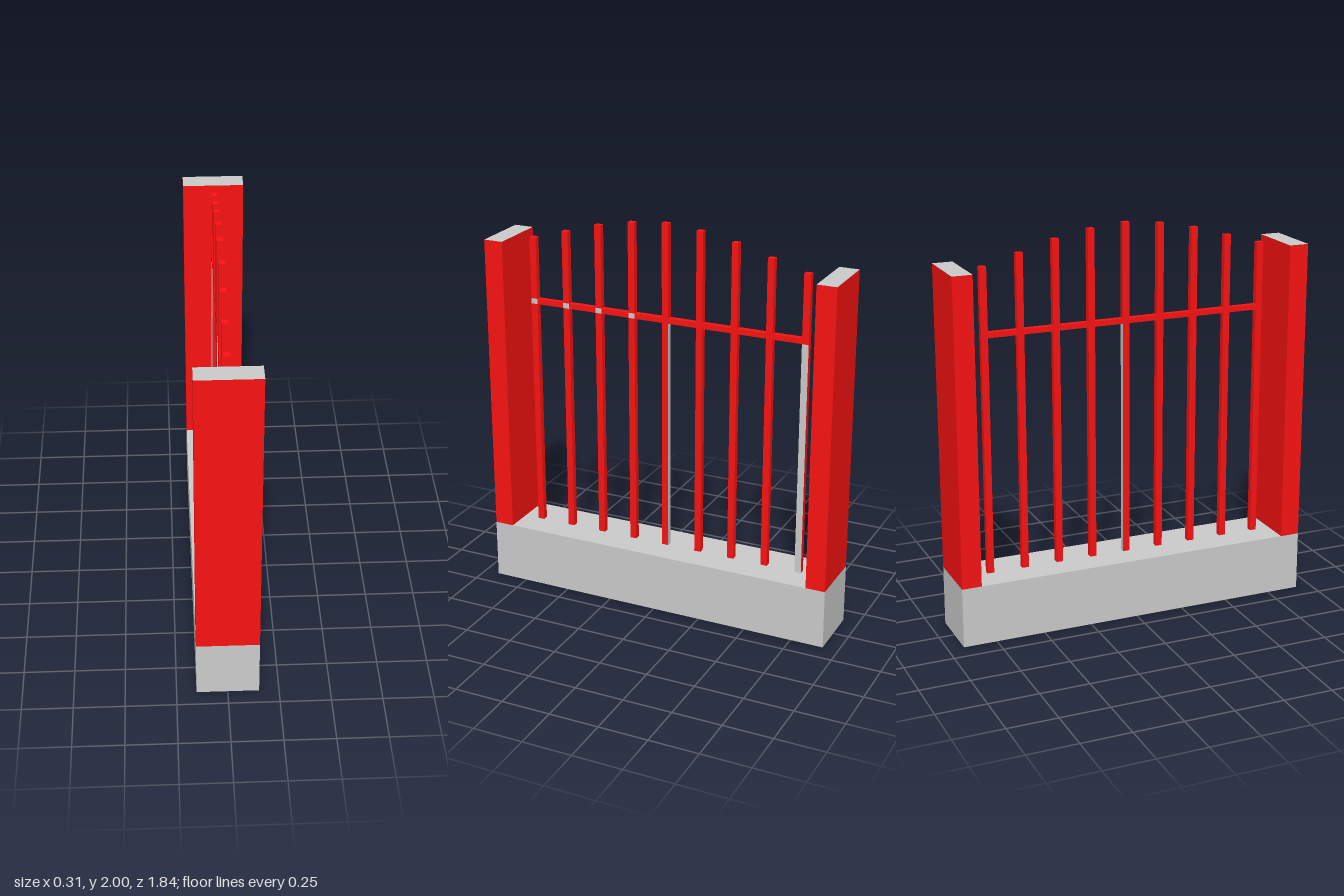
import * as THREE from 'three';

export function createModel() {
  const group = new THREE.Group();
  const red = new THREE.MeshStandardMaterial({ color: 0xfa1212 });
  const grey = new THREE.MeshStandardMaterial({ color: 0xcccccc });

  // Box standing from y0 to y1; greyFaces lists unpainted sides (+x -x +y -y +z -z = 0..5)
  function block(name, w, y0, y1, z, depth, greyFaces = []) {
    const materials = [0, 1, 2, 3, 4, 5].map((i) => (greyFaces.includes(i) ? grey : red));
    const mesh = new THREE.Mesh(
      new THREE.BoxGeometry(w, y1 - y0, depth),
      greyFaces.length === 6 ? grey : greyFaces.length ? materials : red
    );
    mesh.position.set(0, (y0 + y1) / 2, z);
    mesh.name = name;
    group.add(mesh);
  }

  const baseTop = 0.305, width = 0.306;
  const barSize = 0.034, barX = 0.03, spacing = 0.1815;
  const railLow = 1.5, railHigh = 1.527;
  const tops = [2, 1.983, 1.948, 1.896, 1.845];

  // Plinth and end pillars with unpainted tops
  block('base', width, 0, baseTop, 0, 1.84, [0, 1, 2, 3, 4, 5]);
  for (const s of [1, -1]) block('pillar', width, baseTop, 1.845, s * 0.87, 0.1, [2]);

  // Upright bars in an arched row, split where the rail crosses
  for (let i = -4; i <= 4; i++) {
    const z = i * spacing;
    const bare = i === -4 ? [0, 4] : i === 0 ? [4, 5] : [];
    block('barLower', barX, baseTop, railLow, z, barSize, bare);
    block('barJoint', barX, railLow, railHigh, z, barSize, i > 0 ? [0] : []);
    block('barUpper', barX, railHigh, tops[Math.abs(i)], z, barSize);
    // Rail section to the next bar
    if (i < 4) block('rail', barX, railLow, railHigh, z + spacing / 2, spacing - barSize);
  }
  return group;
}
